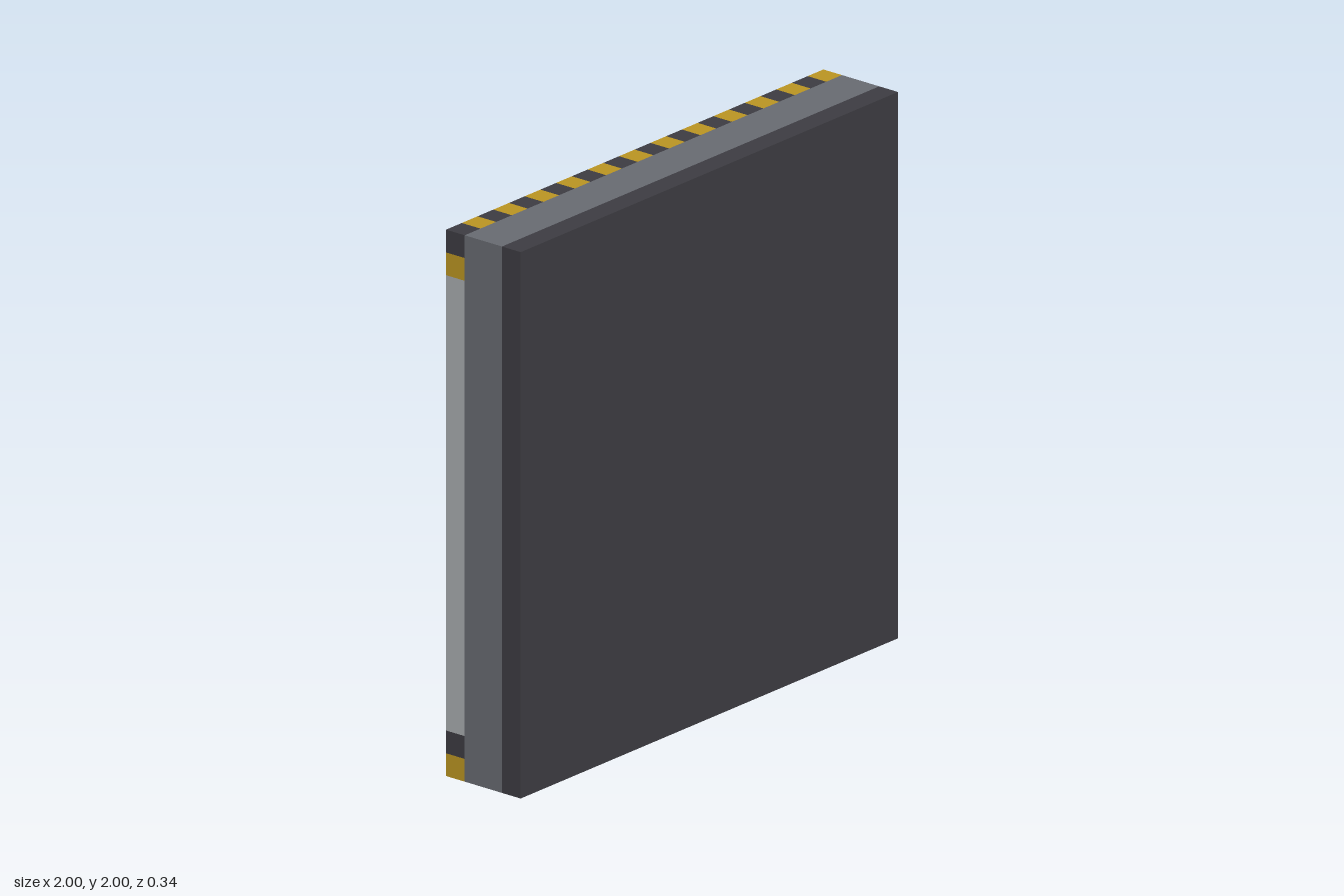
import * as THREE from 'three';
import { mergeGeometries } from 'three/addons/utils/BufferGeometryUtils.js';

const U = 1 / 12; // grid cell of the design

const material = (name, color) => {
  const m = new THREE.MeshStandardMaterial({ color });
  m.name = name;
  return m;
};

// Box from its low and high corners
function box(x0, y0, z0, x1, y1, z1) {
  const g = new THREE.BoxGeometry(x1 - x0, y1 - y0, z1 - z0);
  return g.translate((x0 + x1) / 2, (y0 + y1) / 2, (z0 + z1) / 2);
}

// Rectangle outline with cut corners
function outline(Type, x, y, w, h, c = 0) {
  const a = w / 2, b = h / 2;
  const pts = [[-a + c, -b], [a - c, -b], [a, -b + c], [a, b - c], [a - c, b], [-a + c, b], [-a, b - c], [-a, -b + c]];
  const s = new Type();
  pts.forEach(([px, py], i) => (i ? s.lineTo(x + px, y + py) : s.moveTo(x + px, y + py)));
  s.closePath();
  return s;
}

// Thin plate lying on the recessed panel
const plate = (shape) =>
  new THREE.ExtrudeGeometry(shape, { depth: 0.004, bevelEnabled: false }).translate(0, 0, -U - 0.006);

export function createModel() {
  const group = new THREE.Group();
  const dark = material('charcoal', 0x3d3c42);
  const grey = material('steel grey', 0x686b72);
  const light = material('light grey', 0xa9acaf);
  const yellow = material('hazard yellow', 0xbb9522);
  const orange = material('marker orange', 0xcb8924);
  const red = material('corner red', 0xc92a2a);
  const blue = material('window blue', 0x76a3be);
  const add = (name, geometries, mat) => {
    const mesh = new THREE.Mesh(mergeGeometries(geometries), mat);
    mesh.name = name;
    group.add(mesh);
  };

  // Layered slab
  add('frontSlab', [box(-1, 0, U, 1, 2, 2 * U)], dark);
  add('middleSlab', [box(-1, 0, -U, 1, 2, U)], grey);
  add('recessedPanel', [box(-10 * U, 2 * U, -U - 0.002, 10 * U, 22 * U, -U)], light);
  add('sideBars', [-1, 10 * U].map((x) => box(x, 2 * U, -2 * U, x + 2 * U, 22 * U, -U)), light);

  // Checkered top and bottom bars with red corner cells
  const cells = { yellow: [], dark: [], red: [] };
  for (const row of [0, 1, 22, 23]) {
    for (let col = 0; col < 24; col++) {
      const isRed = (row === 1 && (col === 1 || col === 22)) || (row === 22 && col === 1);
      const key = isRed ? 'red' : (row + col) % 2 ? 'dark' : 'yellow';
      const x = 1 - col * U, y = 2 - row * U;
      cells[key].push(box(x - U, y - U, -2 * U, x, y, -U));
    }
  }
  add('yellowChecks', cells.yellow, yellow);
  add('darkChecks', cells.dark, dark);
  add('redCorners', cells.red, red);

  // Orange markers wrapping the inner edges of the side bars
  const marker = (side, y) => {
    const a = side * (10 * U - 0.003), b = side * (11 * U - 0.003);
    return box(Math.min(a, b), y - 0.037, -2 * U - 0.003, Math.max(a, b), y + 0.037, -U);
  };
  const markers = [];
  for (let i = 0; i < 9; i++) for (const side of [-1, 1]) markers.push(marker(side, 19.5 * U - i * 2 * U));
  add('orangeMarkers', markers, orange);
  add('blueMarker', [marker(-1, 12.5 * U)], blue);

  // Centre strip
  add('centreStrip', [box(-U, 2 * U, -U - 0.005, U, 22 * U, -U)], dark);

  // Windows and hatch frames on both halves
  const windows = [], frames = [];
  for (const side of [-1, 1]) {
    const x = side * 5.5 * U;
    windows.push(plate(outline(THREE.Shape, x, 16 * U, 5 * U, 2 * U, 0.01)));
    const frame = outline(THREE.Shape, x, 7.5 * U, 7 * U, 9 * U, 0.012);
    frame.holes.push(outline(THREE.Path, x, 7.5 * U, 5 * U, 7 * U, 0.01));
    frames.push(plate(frame));
  }
  add('windows', windows, blue);
  add('hatchFrames', frames, grey);

  // Worn patches: x, y, width, height
  const patches = [
    [0.63, 1.74, 0.04, 0.11], [0.25, 1.7, 0.11, 0.045], [0.705, 1.46, 0.035, 0.035],
    [0.805, 1.21, 0.05, 0.045], [0.79, 1.69, 0.09, 0.05], [0.21, 1.41, 0.045, 0.12],
    [-0.21, 1.69, 0.035, 0.035], [-0.21, 1.53, 0.035, 0.035], [-0.375, 1.43, 0.04, 0.05],
    [-0.71, 1.52, 0.035, 0.035], [0.455, 0.71, 0.04, 0.035], [0.375, 0.585, 0.042, 0.12],
    [0.29, 0.88, 0.09, 0.08], [0.265, 0.82, 0.04, 0.09], [0.28, 0.45, 0.07, 0.05],
    [-0.285, 0.86, 0.08, 0.12], [-0.265, 0.58, 0.04, 0.06], [-0.285, 0.37, 0.08, 0.09],
    [0.5, 0.225, 0.06, 0.08], [0.38, 0.225, 0.06, 0.08],
  ];
  add('wornPatches', patches.map(([x, y, w, h]) => plate(outline(THREE.Shape, x, y, w, h, 0.012))), grey);

  return group;
}
